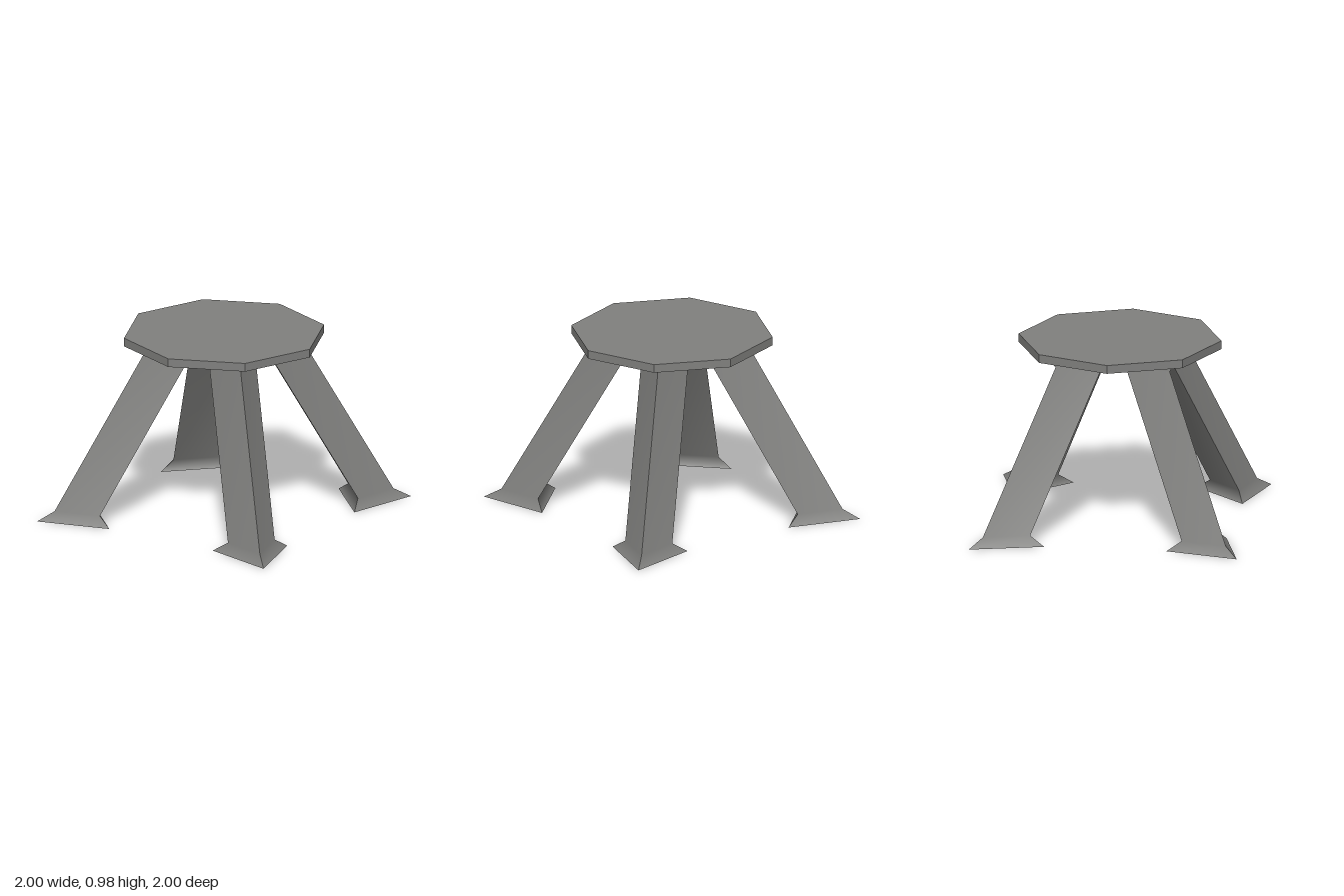
import * as THREE from 'three';

// Leg cross-sections, bottom to top: height, triangle centre distance, triangle radius
const SECTIONS = [
  [0, 0.77, 0.23],
  [0.05, 0.762, 0.144],
  [0.89, 0.282, 0.144],
  [0.936, 0.27, 0.19],
];

// Three-sided leg leaning along +x, with a flared foot and a flared top
function legGeometry() {
  const rings = SECTIONS.map(([y, centre, r]) =>
    [0, 1, 2].map((i) => {
      const a = (i * Math.PI * 2) / 3;
      return [centre + r * Math.cos(a), y, r * Math.sin(a)];
    }));
  const positions = [];
  const index = [];
  const add = (...points) => {
    const start = positions.length / 3;
    points.forEach((p) => positions.push(...p));
    return start;
  };

  // Each side is its own strip, so the long edges stay sharp
  for (let side = 0; side < 3; side++) {
    const next = (side + 1) % 3;
    const start = add(...rings.flatMap((ring) => [ring[side], ring[next]]));
    for (let i = 0; i < rings.length - 1; i++) {
      const a = start + i * 2;
      index.push(a, a + 2, a + 1, a + 1, a + 2, a + 3);
    }
  }

  // End caps
  const bottom = add(...rings[0]);
  index.push(bottom, bottom + 1, bottom + 2);
  const top = add(...rings[rings.length - 1]);
  index.push(top, top + 2, top + 1);

  const geometry = new THREE.BufferGeometry();
  geometry.setAttribute('position', new THREE.Float32BufferAttribute(positions, 3));
  geometry.setIndex(index);
  geometry.computeVertexNormals();
  return geometry;
}

export function createModel() {
  const group = new THREE.Group();
  group.name = 'stool';
  const grey = new THREE.MeshStandardMaterial({ color: 0x80807e });
  grey.name = 'grey';

  // Octagonal seat with corners on the axes
  const seatGeometry = new THREE.CylinderGeometry(0.535, 0.535, 0.045, 8).toNonIndexed();
  seatGeometry.computeVertexNormals();
  const seat = new THREE.Mesh(seatGeometry, grey);
  seat.name = 'seat';
  seat.position.y = 0.9575;
  group.add(seat);

  // Four splayed legs
  const geometry = legGeometry();
  ['leftLeg', 'backLeg', 'rightLeg', 'frontLeg'].forEach((name, i) => {
    const leg = new THREE.Mesh(geometry, grey);
    leg.name = name;
    leg.rotation.y = (i * Math.PI) / 2;
    group.add(leg);
  });

  return group;
}
